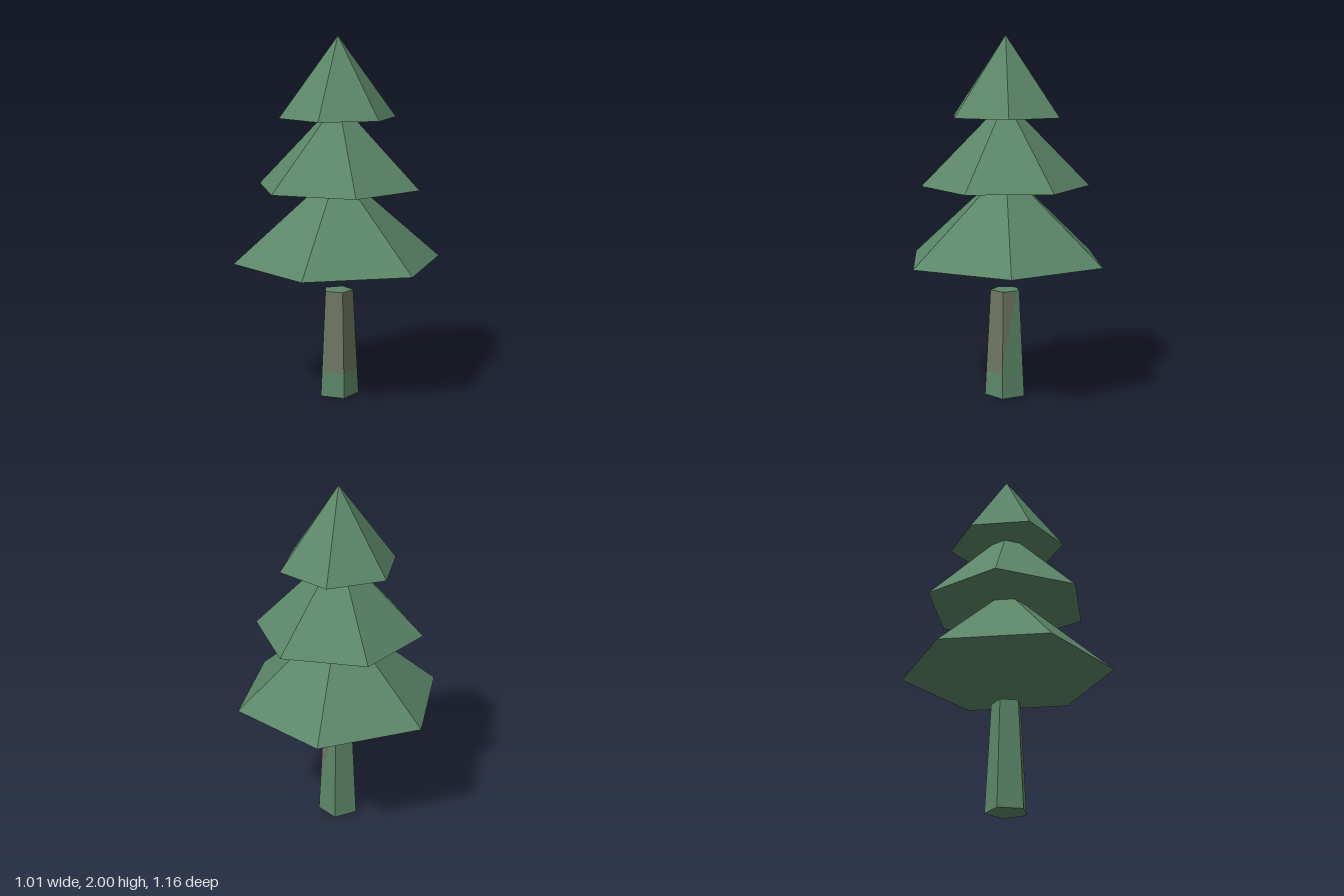
import * as THREE from 'three';

const TRUNK_H = 0.6, R_BOTTOM = 0.117, R_TOP = 0.085, SIDES = 5;

// Corner of the tapered five-sided trunk (flat side to the front)
function trunkCorner(k, y) {
  const a = (k - 0.5) * Math.PI * 2 / SIDES;
  const r = THREE.MathUtils.lerp(R_BOTTOM, R_TOP, y / TRUNK_H);
  return new THREE.Vector3(Math.sin(a) * r, y, Math.cos(a) * r);
}

// Point on trunk side k: u runs left to right across it, y is the height
const onSide = (k, u, y) => trunkCorner(k, y).lerp(trunkCorner(k + 1, y), u);
const patch = (k, outline) => outline.map(([u, y]) => onSide(k, u, y));

// Flat-shaded geometry from convex polygons, corners counter-clockwise
function fromPolygons(polygons) {
  const points = [];
  for (const p of polygons)
    for (let i = 1; i < p.length - 1; i++) points.push(p[0], p[i], p[i + 1]);
  const g = new THREE.BufferGeometry().setFromPoints(points);
  g.computeVertexNormals();
  return g;
}

export function createModel() {
  const tree = new THREE.Group();
  tree.name = 'pineTree';

  const green = new THREE.MeshStandardMaterial({ color: 0x5c8668 });
  green.name = 'pine green';
  const brown = new THREE.MeshStandardMaterial({ color: 0x6e7561 });
  brown.name = 'bark';

  const add = (parent, name, geometry, material) => {
    const mesh = new THREE.Mesh(geometry, material);
    mesh.name = name;
    parent.add(mesh);
    return mesh;
  };

  // Foliage: six-sided cones, every second one turned by half a side
  const tiers = [
    { name: 'lowerFoliage', base: 0.77, apex: 1.28, radius: 0.582, turn: 0 },
    { name: 'middleFoliage', base: 1.18, apex: 1.655, radius: 0.463, turn: Math.PI / 6 },
    { name: 'topFoliage', base: 1.56, apex: 2, radius: 0.325, turn: 0 },
  ];
  for (const t of tiers) {
    const h = t.apex - t.base;
    const cone = new THREE.ConeGeometry(t.radius, h, 6).toNonIndexed();
    cone.computeVertexNormals();
    const mesh = add(tree, t.name, cone, green);
    mesh.position.y = t.base + h / 2;
    mesh.rotation.y = t.turn;
  }

  // Trunk: bark on the front and left sides, green foot and back
  const trunk = new THREE.Group();
  trunk.name = 'trunk';
  tree.add(trunk);
  const H = TRUNK_H, foot = 0.14, inset = 0.11, wedge = 0.18;
  const ring = (y) => Array.from({ length: SIDES }, (_, k) => trunkCorner(k, y));

  add(trunk, 'trunkBark', fromPolygons([
    patch(0, [[0, H], [inset, foot], [1, foot], [1, H]]),
    patch(1, [[0, foot], [1, foot], [1, H], [0, H]]),
    patch(2, [[0, wedge], [0.85, H], [0, H]]),
  ]), brown);

  add(trunk, 'trunkGreen', fromPolygons([
    patch(0, [[0, 0], [1, 0], [1, foot], [inset, foot]]),
    patch(0, [[0, 0], [inset, foot], [0, H]]),
    patch(1, [[0, 0], [1, 0], [1, foot], [0, foot]]),
    patch(2, [[0.85, H], [0, wedge], [0, 0], [1, 0], [1, H]]),
    patch(3, [[0, 0], [1, 0], [1, H], [0, H]]),
    patch(4, [[0, 0], [1, 0], [1, H], [0, H]]),
    ring(H),
    ring(0).reverse(),
  ]), green);

  return tree;
}
